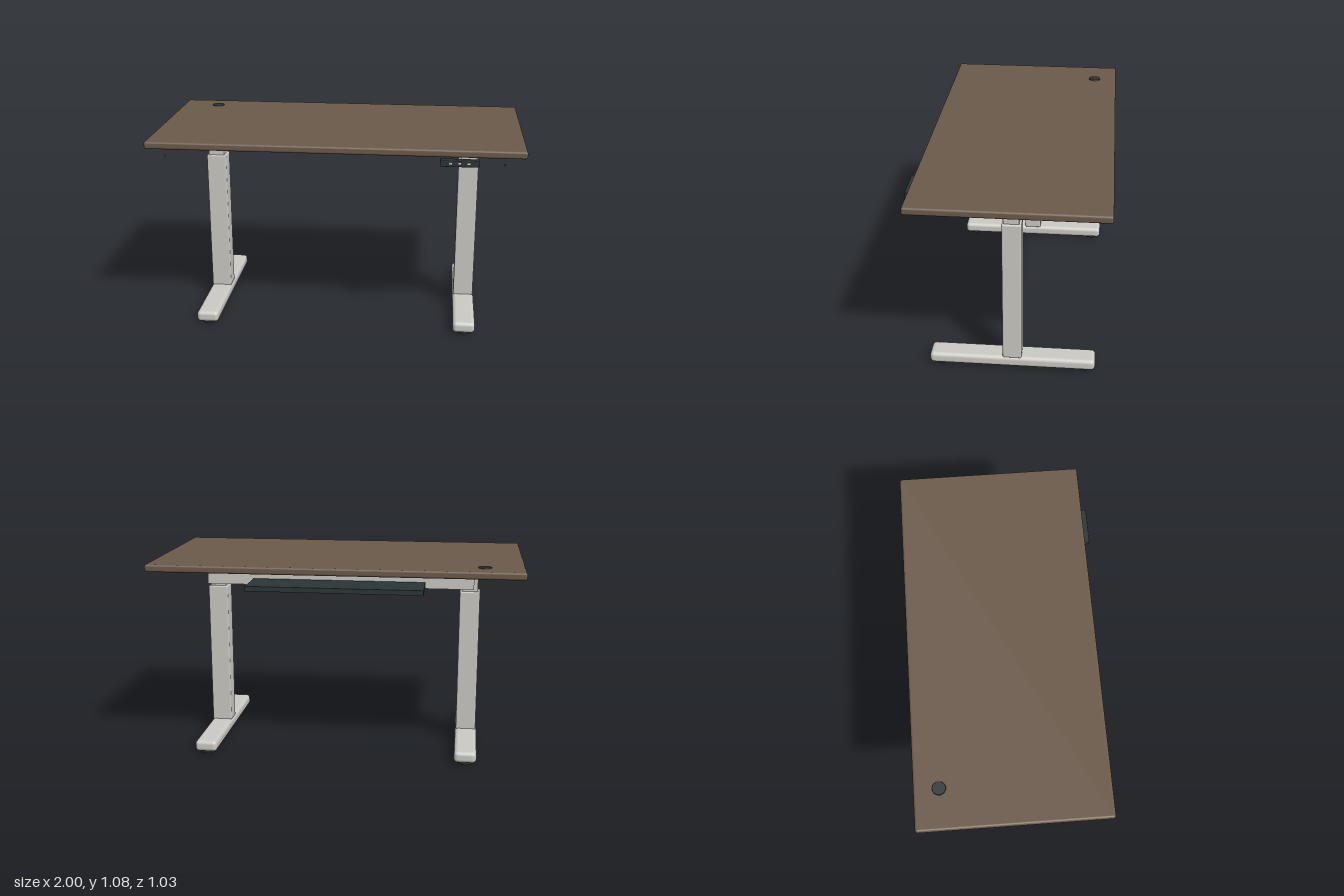
import * as THREE from 'three';
import { RoundedBoxGeometry } from 'three/addons/geometries/RoundedBoxGeometry.js';

const material = (name, color) => {
  const m = new THREE.MeshStandardMaterial({ color });
  m.name = name;
  return m;
};

export function createModel() {
  const wood = material('brown wood', 0x6b5a4a);
  const metal = material('light grey metal', 0xcbc9c3);
  const dark = material('dark plastic', 0x2b3537);
  const light = material('button white', 0xd8dad8);

  const model = new THREE.Group();
  model.name = 'standingDesk';
  const midZ = -0.016; // centre line of desktop and legs

  const add = (parent, name, geometry, mat, x, y, z) => {
    const mesh = new THREE.Mesh(geometry, mat);
    mesh.name = name;
    mesh.position.set(x, y, z);
    parent.add(mesh);
    return mesh;
  };
  const box = (w, h, d, r = 0) =>
    r ? new RoundedBoxGeometry(w, h, d, 4, r) : new THREE.BoxGeometry(w, h, d);

  // Desktop and cable grommet
  add(model, 'desktop', box(2, 0.04, 1, 0.012), wood, 0, 1.055, midZ);
  add(model, 'grommet', new THREE.CylinderGeometry(0.034, 0.038, 0.008, 16), dark, -0.788, 1.075, -0.386);

  // Telescopic legs, mirrored
  for (const side of [-1, 1]) {
    const leg = new THREE.Group();
    leg.name = side < 0 ? 'rightLeg' : 'leftLeg';
    leg.position.set(side * 0.717, 0, midZ);
    model.add(leg);
    add(leg, 'mountingPlate', box(0.18, 0.023, 0.7), metal, 0, 1.0235, 0);
    add(leg, 'innerColumn', box(0.088, 0.2, 0.078), metal, 0, 0.92, 0);
    add(leg, 'outerColumn', box(0.112, 0.81, 0.1, 0.008), metal, 0, 0.475, 0);
    add(leg, 'foot', box(0.122, 0.062, 0.885, 0.022), metal, 0, 0.045, 0);
    for (const end of [-1, 1]) {
      add(leg, 'footPad', new THREE.CylinderGeometry(0.038, 0.038, 0.018, 16), dark, 0, 0.009, end * 0.385);
    }
  }

  // Cross beam and cable tray below the desktop
  add(model, 'crossBeam', box(1.475, 0.1, 0.092), metal, 0, 0.97, -0.158);
  add(model, 'cableTray', box(0.95, 0.027, 0.226), dark, 0, 0.9435, -0.33);

  // Height control with three buttons
  add(model, 'controlPanel', box(0.2, 0.035, 0.035, 0.003), dark, 0.655, 1.0125, 0.4975);
  for (const x of [0.608, 0.655, 0.702]) {
    add(model, 'button', box(0.014, 0.008, 0.006), light, x, 1.014, 0.515);
  }

  // Small studs near the front corners
  for (const side of [-1, 1]) {
    add(model, 'stud', new THREE.SphereGeometry(0.006, 10, 8), dark, side * 0.886, 1.004, 0.482);
  }

  return model;
}
